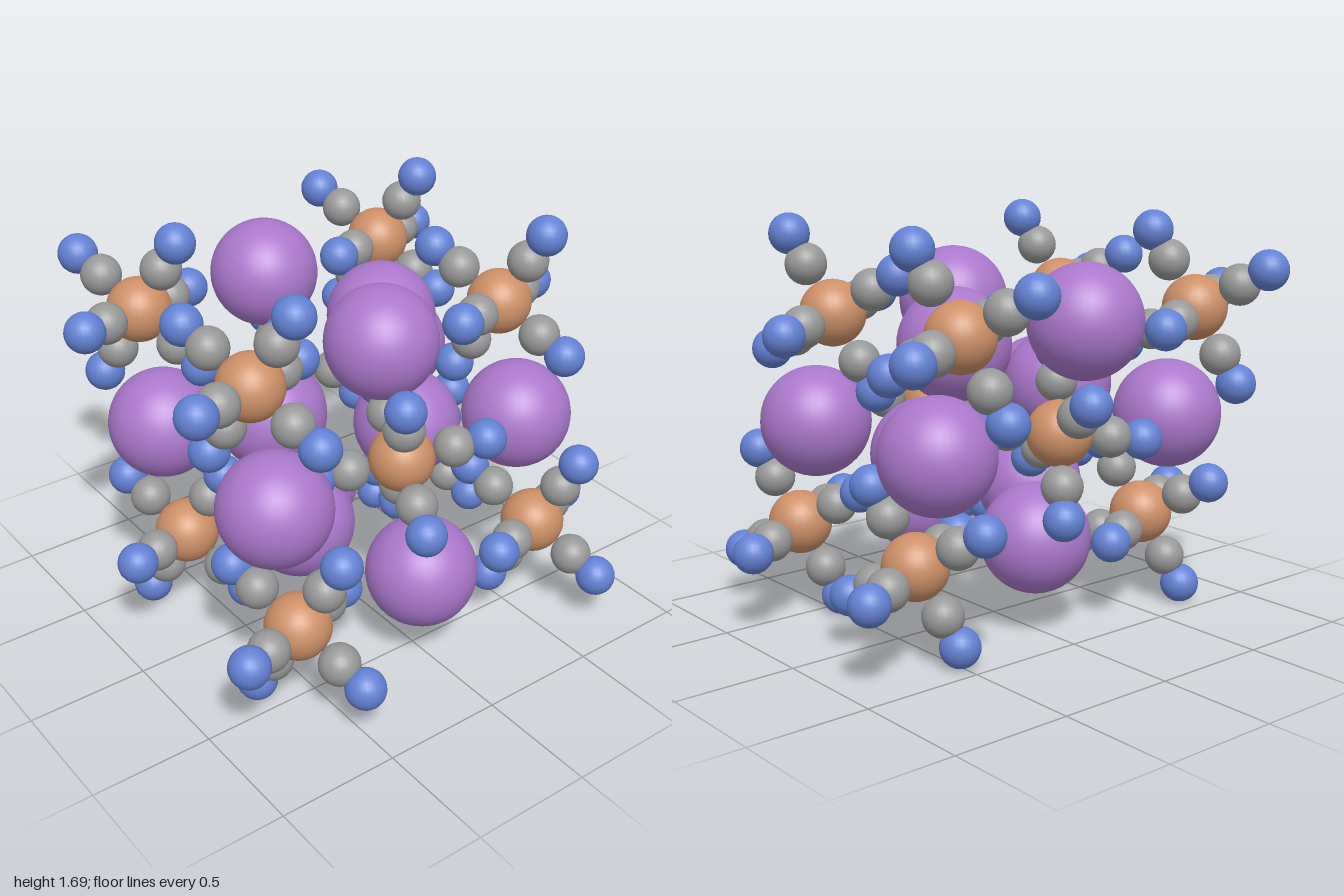
import * as THREE from 'three';

// Crystal of octahedral metal-cyanide complexes with large ions between them.
// Lattice: A along x, B along z, C sheared upwards; CENTRE is the inversion point.
const A = 0.805, B = 1.21, C = new THREE.Vector2(-0.28, 0.916);
const CENTRE = new THREE.Vector3(0, 0.853, 0);

const species = {
  largeIon: { radius: 0.226, color: 0xab78cc, segments: 40 },
  metal: { radius: 0.133, color: 0xcd9068, segments: 28 },
  carbon: { radius: 0.084, color: 0x999999, segments: 22 },
  nitrogen: { radius: 0.082, color: 0x6482d4, segments: 22 },
};
for (const s of Object.values(species)) {
  s.geometry = new THREE.SphereGeometry(s.radius, s.segments, Math.round(s.segments * 0.65));
  s.material = new THREE.MeshStandardMaterial({ color: s.color });
}

function atom(kind, position) {
  const mesh = new THREE.Mesh(species[kind].geometry, species[kind].material);
  mesh.name = kind;
  mesh.position.copy(position);
  return mesh;
}

// Three perpendicular arms, each used in both directions (offset of the nitrogen)
const ARMS = [
  new THREE.Vector3(-0.289, 0.167, 0.105),
  new THREE.Vector3(0.142, 0.307, -0.102),
  new THREE.Vector3(0.142, 0.045, 0.315),
];
const CARBON_FRACTION = 0.617;

// One metal atom with six carbon-nitrogen arms; mirrorZ is -1 for the middle layer
function complex(position, mirrorZ) {
  const group = new THREE.Group();
  group.name = 'metalComplex';
  group.position.copy(position);
  group.add(atom('metal', new THREE.Vector3()));
  for (const arm of ARMS) {
    for (const sign of [1, -1]) {
      const tip = arm.clone().multiply(new THREE.Vector3(1, 1, mirrorZ)).multiplyScalar(sign);
      group.add(atom('carbon', tip.clone().multiplyScalar(CARBON_FRACTION)));
      group.add(atom('nitrogen', tip));
    }
  }
  return group;
}

// Site at lattice fractions u, v, w measured from the centre of the cell
function site(u, v, w) {
  return new THREE.Vector3(u * A + w * C.x, w * C.y, v * B).add(CENTRE);
}

export function createModel() {
  const model = new THREE.Group();
  model.name = 'crystalCell';

  for (const u of [-0.5, 0.5]) {
    for (const h of [-0.5, 0.5]) {
      // Cell corners hold complexes, the upright edges' middles hold ions
      for (const w of [-0.5, 0.5]) model.add(complex(site(u, h, w), 1));
      model.add(atom('largeIon', site(u, h, 0)));
      // Middles of the top and bottom edges
      model.add(atom('largeIon', site(u, 0, h)));
    }
    // Centres of the side faces
    model.add(complex(site(u, 0, 0), -1));
  }

  // Inner ions, paired by inversion through the centre
  for (const offset of [[0.102, -0.345, 0.285], [-0.038, 0.113, 0.32]]) {
    for (const sign of [1, -1]) {
      model.add(atom('largeIon', new THREE.Vector3(...offset).multiplyScalar(sign).add(CENTRE)));
    }
  }
  return model;
}
